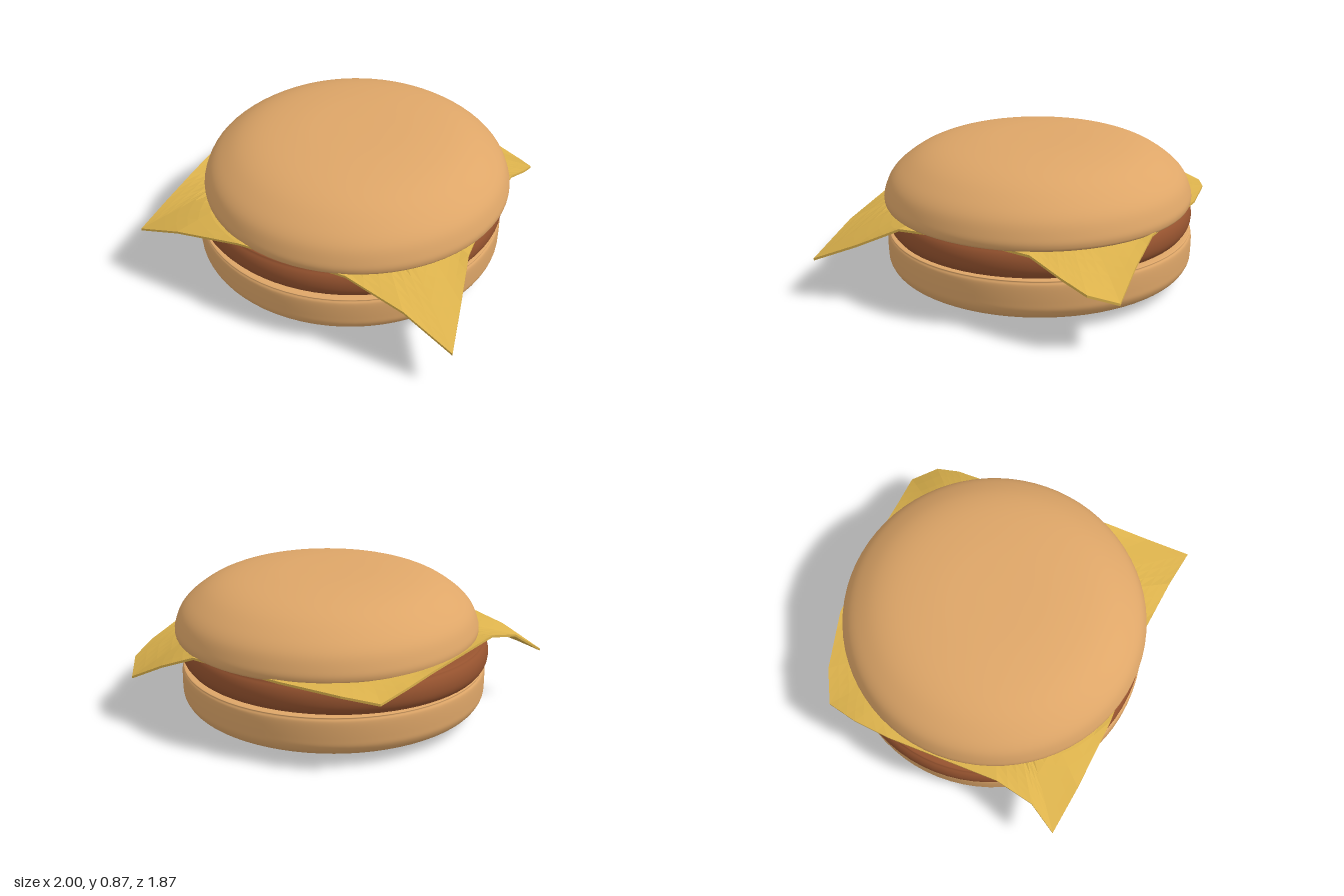
import * as THREE from 'three';

const mat = (color, extra = {}) => new THREE.MeshStandardMaterial({ color, ...extra });

// Smooth round layer: a spline profile [radius, y], bottom to top, turned on the y axis
function layer(name, material, profile, x, z) {
  const curve = new THREE.SplineCurve(profile.map(p => new THREE.Vector2(...p)));
  const points = curve.getPoints(60);
  points.forEach(p => { p.x = Math.max(p.x, 0); });
  const mesh = new THREE.Mesh(new THREE.LatheGeometry(points, 72), material);
  mesh.name = name;
  mesh.position.set(x, 0, z);
  return mesh;
}

// Thin slice that lies flat in the middle and droops towards its outline
function drapedSlice(outline, flatY, flatR, thickness) {
  const rings = [0, 0.55, 0.66, 0.74, 0.81, 0.88, 0.94, 1];
  const edge = [];
  outline.forEach((a, i) => {
    const b = outline[(i + 1) % outline.length];
    for (let k = 0; k < 3; k++) edge.push(a.map((v, j) => v + (b[j] - v) * k / 3));
  });
  const n = edge.length, pos = [], idx = [];
  const half = rings.length * n;
  for (const drop of [0, thickness]) {
    for (const s of rings) {
      for (const [x, y, z] of edge) {
        const r = Math.hypot(x, z);
        const t = Math.max(0, (r * s - flatR) / Math.max(r - flatR, 0.02));
        pos.push(x * s, flatY + (y - flatY) * Math.pow(t, 1.15) - drop, z * s);
      }
    }
  }
  for (let i = 0; i < n; i++) {
    const j = (i + 1) % n;
    for (let k = 0; k < rings.length - 1; k++) {
      const a = k * n + i, b = k * n + j, c = a + n, d = b + n;
      idx.push(a, c, d, a, d, b);
      idx.push(half + a, half + d, half + c, half + a, half + b, half + d);
    }
    const o = (rings.length - 1) * n;
    idx.push(o + i, half + o + i, half + o + j, o + i, half + o + j, o + j);
  }
  const g = new THREE.BufferGeometry();
  g.setAttribute('position', new THREE.Float32BufferAttribute(pos, 3));
  g.setIndex(idx);
  g.computeVertexNormals();
  return g;
}

export function createModel() {
  const group = new THREE.Group();
  group.name = 'burger';
  const bread = mat(0xdea668);

  group.add(layer('bottomBun', bread, [
    [0, 0], [0.3, 0.003], [0.6, 0.018], [0.78, 0.042], [0.87, 0.078], [0.908, 0.125],
    [0.915, 0.18], [0.915, 0.265], [0.905, 0.295], [0.875, 0.308], [0.6, 0.31], [0, 0.31],
  ], 0.01, -0.015));

  const patty = layer('patty', mat(0x96532f), [
    [0, 0.305], [0.6, 0.305], [0.86, 0.308], [0.905, 0.325], [0.927, 0.365],
    [0.927, 0.42], [0.905, 0.465], [0.86, 0.485], [0.6, 0.488], [0, 0.488],
  ], 0.003, -0.015);
  patty.scale.z = 0.973;
  group.add(patty);

  // Cheese outline, running counter-clockwise seen from above
  const outline = [
    [-1, 0.335, 0.75], [-0.72, 0.43, 0.795], [-0.3, 0.51, 0.84], [0.35, 0.495, 0.845],
    [0.7, 0.395, 0.885], [1, 0.245, 0.93], [0.95, 0.36, 0.66], [0.9, 0.485, 0.4],
    [0.88, 0.5, 0], [0.9, 0.485, -0.42], [0.935, 0.41, -0.62], [0.935, 0.345, -0.77],
    [0.83, 0.285, -0.91], [0.6, 0.4, -0.895], [0.36, 0.5, -0.89], [-0.25, 0.505, -0.905],
    [-0.6, 0.48, -0.83], [-0.79, 0.45, -0.74], [-0.84, 0.49, -0.55], [-0.865, 0.515, -0.33],
    [-0.87, 0.515, 0.35], [-0.91, 0.46, 0.58],
  ];
  const cheese = new THREE.Mesh(drapedSlice(outline, 0.508, 0.84, 0.014),
    mat(0xdcb24c, { flatShading: true, side: THREE.DoubleSide }));
  cheese.name = 'cheeseSlice';
  group.add(cheese);

  group.add(layer('topBun', bread, [
    [0, 0.472], [0.6, 0.472], [0.83, 0.476], [0.895, 0.488], [0.911, 0.515], [0.905, 0.56],
    [0.87, 0.64], [0.8, 0.71], [0.69, 0.78], [0.55, 0.826], [0.35, 0.855], [0.15, 0.864], [0, 0.865],
  ], 0.052, -0.025));
  return group;
}
